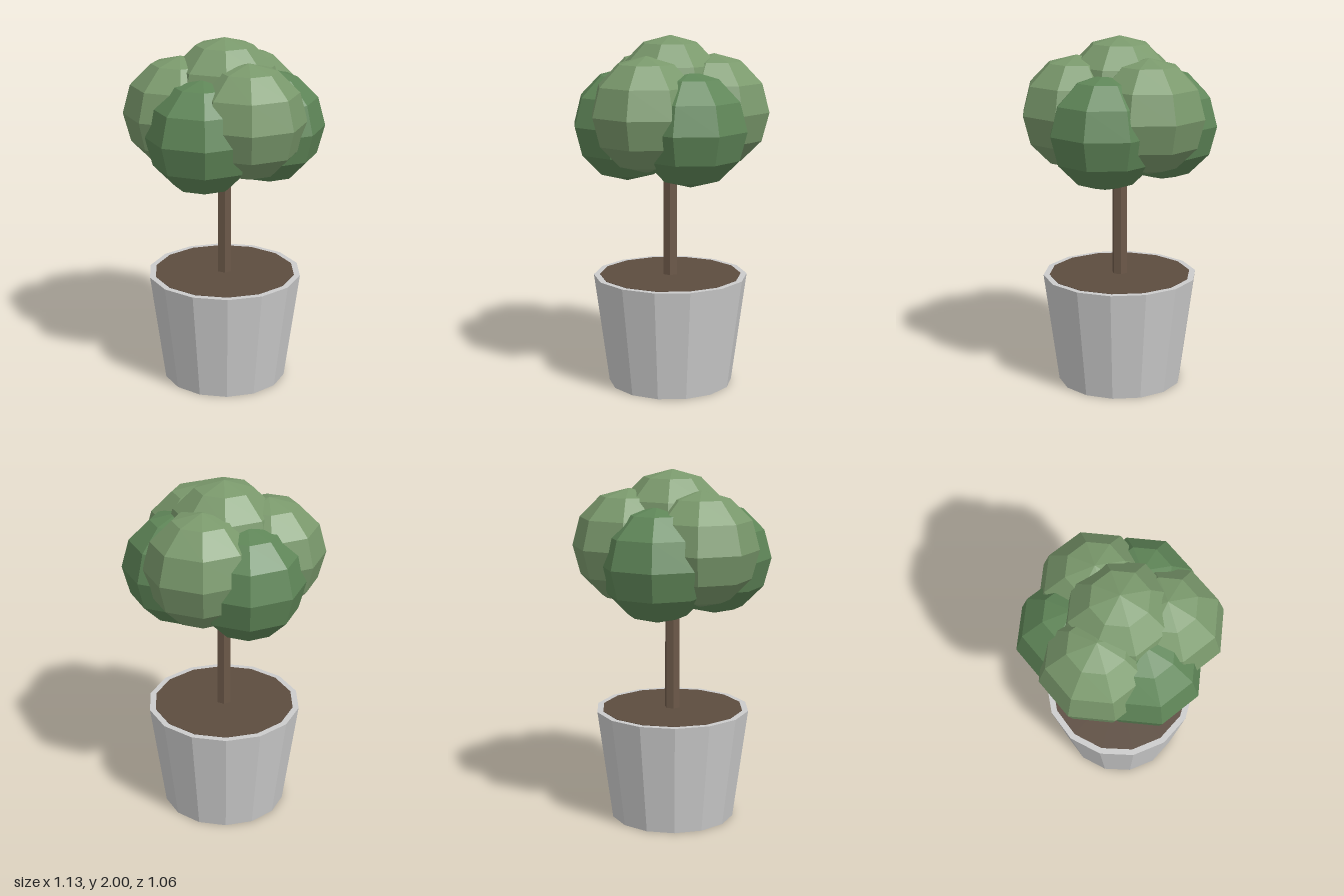
import * as THREE from 'three';

const paint = (color) => new THREE.MeshStandardMaterial({ color, flatShading: true });

export function createModel() {
  const model = new THREE.Group();
  const add = (name, geometry, material, x, y, z) => {
    const mesh = new THREE.Mesh(geometry, material);
    mesh.name = name;
    mesh.position.set(x, y, z);
    model.add(mesh);
  };

  // Tapered fourteen-sided pot with soil on top
  const potHeight = 0.635;
  add('pot', new THREE.CylinderGeometry(0.44, 0.355, potHeight, 14), paint(0xcccccc), 0, potHeight / 2, 0);
  add('soil', new THREE.CylinderGeometry(0.405, 0.405, 0.02, 14), paint(0x5c4c3f), 0, potHeight - 0.008, 0);

  // Slim six-sided trunk reaching into the crown
  add('trunk', new THREE.CylinderGeometry(0.042, 0.044, 0.9, 6), paint(0x6b5848), 0, potHeight + 0.45, 0);

  // Crown: a ring of six leaf clumps at alternating heights, plus one on top
  const clump = new THREE.SphereGeometry(0.32, 8, 6);
  const darkLeaf = paint(0x5f8658);
  const lightLeaf = paint(0x7a996c);
  for (let i = 0; i < 6; i++) {
    const angle = (i * Math.PI) / 3;
    const high = i % 2 === 1;
    add(`leafClump${i + 1}`, clump, high ? lightLeaf : darkLeaf,
      0.243 * Math.cos(angle), high ? 1.58 : 1.5, 0.243 * Math.sin(angle));
  }
  add('topLeafClump', clump, lightLeaf, 0, 1.68, 0);

  return model;
}
